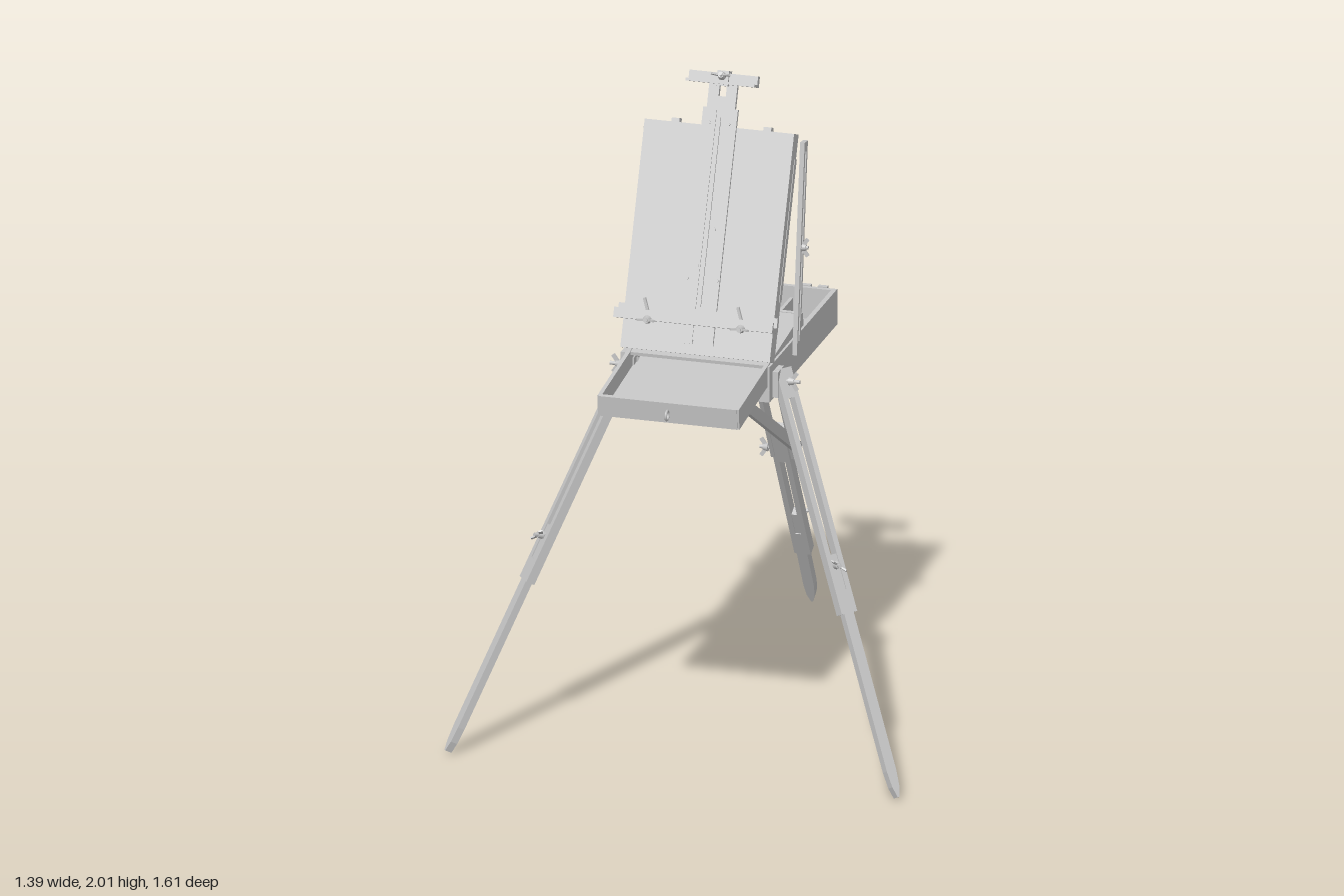
import * as THREE from 'three';

const wood = new THREE.MeshStandardMaterial({ color: 0xc6c6c6 });
wood.name = 'grey';
const V = (x, y, z) => new THREE.Vector3(x, y, z);

function add(parent, name, geo, x = 0, y = 0, z = 0) {
  const m = new THREE.Mesh(geo, wood);
  m.name = name;
  m.position.set(x, y, z);
  parent.add(m);
  return m;
}

// box from its min and max corners
function block(parent, name, x0, x1, y0, y1, z0, z1) {
  return add(parent, name, new THREE.BoxGeometry(x1 - x0, y1 - y0, z1 - z0),
    (x0 + x1) / 2, (y0 + y1) / 2, (z0 + z1) / 2);
}

// flat bar from a to b, optionally slotted or pointed at b
function bar(parent, name, a, b, w, t, widthDir, { slot, point = 0 } = {}) {
  const L = a.distanceTo(b), h = w / 2;
  const s = new THREE.Shape();
  s.moveTo(-h, 0);
  s.lineTo(h, 0);
  s.lineTo(h, L - point);
  if (point) {
    s.lineTo(h * 0.75, L - point * 0.4);
    s.lineTo(h * 0.2, L);
    s.lineTo(-h * 0.2, L);
    s.lineTo(-h * 0.75, L - point * 0.4);
  }
  s.lineTo(-h, L - point);
  s.closePath();
  if (slot) {
    const [y0, y1, sw] = slot, q = sw / 2, p = new THREE.Path();
    p.moveTo(-q, y0);
    p.lineTo(-q, L - y1);
    p.lineTo(q, L - y1);
    p.lineTo(q, y0);
    p.closePath();
    s.holes.push(p);
  }
  const geo = new THREE.ExtrudeGeometry(s, { depth: t, bevelEnabled: false });
  geo.translate(0, 0, -t / 2);
  const Y = b.clone().sub(a).normalize();
  const X = widthDir.clone().addScaledVector(Y, -widthDir.dot(Y)).normalize();
  const Z = X.clone().cross(Y);
  geo.applyMatrix4(new THREE.Matrix4().makeBasis(X, Y, Z));
  return add(parent, name, geo, a.x, a.y, a.z);
}

// bolt with a two-winged nut, pointing along dir
function wingNut(parent, pos, dir, len = 0.05) {
  const g = new THREE.Group();
  g.name = 'wingNut';
  add(g, 'bolt', new THREE.CylinderGeometry(0.006, 0.006, len, 8), 0, len / 2, 0);
  add(g, 'nut', new THREE.CylinderGeometry(0.009, 0.013, 0.016, 10), 0, len * 0.6, 0);
  for (const s of [-1, 1]) {
    const w = add(g, 'wing', new THREE.BoxGeometry(0.026, 0.012, 0.005), s * 0.016, len * 0.75, 0);
    w.rotation.z = s * 0.6;
  }
  g.position.copy(pos);
  g.quaternion.setFromUnitVectors(V(0, 1, 0), dir.clone().normalize());
  parent.add(g);
}

function sketchBox(root) {
  const g = new THREE.Group();
  g.name = 'sketchBox';
  root.add(g);
  const L = -0.24, R = 0.215;
  block(g, 'boxFloor', L, R, 1.085, 1.098, -0.19, 0.49);
  block(g, 'sideWall', L, L + 0.015, 1.085, 1.195, -0.19, 0.49);
  block(g, 'sideWall', R - 0.015, R, 1.085, 1.195, -0.19, 0.49);
  block(g, 'backWall', L, R, 1.085, 1.195, -0.2, -0.185);
  block(g, 'frontWall', L, R, 1.085, 1.122, 0.477, 0.492);
  for (const x of [-0.13, 0.08]) block(g, 'divider', x - 0.005, x + 0.005, 1.095, 1.16, -0.19, 0.12);
  // latches and carrying handle on the back wall
  for (const x of [-0.19, -0.14, 0.12, 0.17]) {
    block(g, 'latch', x - 0.014, x + 0.014, 1.12, 1.198, -0.213, -0.198);
    const k = add(g, 'latchKnob', new THREE.CylinderGeometry(0.01, 0.01, 0.02, 10), x, 1.15, -0.218);
    k.rotation.x = Math.PI / 2;
  }
  const arc = new THREE.CatmullRomCurve3([V(-0.11, 1.14, -0.2), V(-0.1, 1.09, -0.222),
    V(-0.065, 1.058, -0.222), V(-0.02, 1.05, -0.222), V(0.025, 1.058, -0.222),
    V(0.06, 1.09, -0.222), V(0.07, 1.14, -0.2)]);
  add(g, 'handle', new THREE.TubeGeometry(arc, 28, 0.009, 8));
  for (const x of [-0.11, 0.07]) block(g, 'handleMount', x - 0.015, x + 0.015, 1.12, 1.165, -0.212, -0.198);
}

function drawer(root) {
  const g = new THREE.Group();
  g.name = 'drawer';
  g.position.set(-0.008, 1.1, 0.775);
  g.rotation.x = 0.113;
  root.add(g);
  const w = 0.21, len = 0.66, h = 0.064;
  block(g, 'drawerFloor', -w, w, 0, 0.01, -len, 0);
  for (const s of [-1, 1]) block(g, 'drawerSide', s * w - 0.006, s * w + 0.006, 0, h, -len, 0);
  block(g, 'drawerFront', -w, w, 0, h, -0.012, 0.002);
  block(g, 'drawerBack', -w, w, 0, h, -len, -len + 0.012);
  block(g, 'drawerCover', -w, w, h - 0.012, h - 0.002, -len, -0.3);
  const k = add(g, 'drawerPull', new THREE.TorusGeometry(0.014, 0.004, 6, 16), 0, 0.03, 0.014);
  k.rotation.y = Math.PI / 2;
}

function easelPanel(root) {
  const g = new THREE.Group();
  g.name = 'easelPanel';
  g.position.set(-0.013, 1.21, 0.49);
  g.rotation.x = -0.38;
  root.add(g);
  const w = 0.228, H = 0.672;
  // face boards with rims behind
  block(g, 'panelFace', -w, w, 0, H, -0.014, 0);
  for (const s of [-1, 1]) block(g, 'panelSideRim', s * (w - 0.008) - 0.008, s * (w - 0.008) + 0.008, 0, H, -0.05, -0.01);
  block(g, 'panelTopRim', -w, w, H - 0.016, H, -0.05, -0.01);
  block(g, 'panelBottomRim', -w, w, 0, 0.016, -0.05, -0.01);
  for (const x of [-0.14, 0.14]) block(g, 'panelCatch', x - 0.012, x + 0.012, H, H + 0.012, -0.045, -0.02);
  // sliding mast
  for (const s of [-1, 1]) block(g, 'mastRail', s * 0.032 - 0.021, s * 0.032 + 0.021, 0.03, 0.725, -0.003, 0.008);
  block(g, 'mast', -0.043, 0.043, 0.04, 0.76, -0.008, 0.005);
  for (const s of [-1, 1]) block(g, 'mastTip', s * 0.027 - 0.016, s * 0.027 + 0.016, 0.755, 0.82, -0.008, 0.005);
  block(g, 'mastRack', -0.004, 0.004, 0.14, 0.7, 0.004, 0.01);
  for (const [x, y] of [[-0.045, 0.22], [0.045, 0.22], [-0.02, 0.26], [0.02, 0.37], [0.03, 0.68], [-0.03, 0.68]]) {
    const p = add(g, 'screw', new THREE.CylinderGeometry(0.005, 0.005, 0.006, 8), x, y, 0.009);
    p.rotation.x = Math.PI / 2;
  }
  // top canvas clamp
  block(g, 'clampBar', -0.105, 0.105, 0.795, 0.828, -0.006, 0.014);
  block(g, 'clampLip', -0.105, 0.105, 0.795, 0.803, 0.01, 0.045);
  block(g, 'clampPlate', -0.018, 0.018, 0.79, 0.835, -0.012, 0.022);
  wingNut(g, V(0, 0.815, 0.01), V(0, 0.2, 1), 0.045);
  // canvas shelf
  block(g, 'shelfBack', -0.24, 0.245, 0.085, 0.13, 0.008, 0.024);
  block(g, 'shelfFloor', -0.24, 0.245, 0.085, 0.1, 0.02, 0.068);
  block(g, 'shelfLip', -0.24, 0.245, 0.085, 0.115, 0.06, 0.07);
  for (const x of [-0.135, 0.15]) {
    wingNut(g, V(x, 0.09, 0.06), V(0, -0.2, 1), 0.035);
    bar(g, 'shelfHook', V(x, 0.1, 0.06), V(x - 0.015, 0.15, 0.075), 0.008, 0.008, V(1, 0, 0));
  }
  // peg on the back face
  const peg = add(g, 'backPeg', new THREE.CylinderGeometry(0.012, 0.012, 0.03, 10), 0, 0.6, -0.028);
  peg.rotation.x = Math.PI / 2;
}

function supports(root) {
  for (const s of [-1, 1]) {
    const x = -0.0125 + s * 0.239;
    bar(root, 'panelStrut', V(x, 1.155, 0.258), V(x, 1.79, 0.178), 0.034, 0.014, V(0, 0, 1), { slot: [0.04, 0.03, 0.012] });
    wingNut(root, V(x - s * 0.01, 1.475, 0.218), V(s, 0, 0), 0.035);
    bar(root, 'strutLink', V(x - s * 0.014, 1.36, 0.385), V(x - s * 0.014, 1.75, 0.228), 0.022, 0.008, V(0, 0, 1));
  }
}

function frontLegs(root) {
  for (const s of [-1, 1]) {
    const g = new THREE.Group();
    g.name = 'frontLeg';
    root.add(g);
    const P = y => V(s * (0.685 - 0.393 * y), y, 0.765 - 0.3 * y);
    const wd = V(s * 0.6, 0, -0.8);
    bar(g, 'upperLeg', P(1.165), P(0.5), 0.056, 0.028, wd, { slot: [0.09, 0.07, 0.022] });
    bar(g, 'lowerLeg', P(0.66), P(0), 0.034, 0.022, wd, { point: 0.08 });
    wingNut(g, P(0.635), V(s * 0.5, 0.15, 0.6));
    wingNut(g, V(s * 0.225, 1.135, 0.43), V(s, 0, 0), 0.065);
    block(g, 'legHinge', s * 0.22 - 0.012, s * 0.22 + 0.012, 1.09, 1.17, 0.4, 0.46);
  }
}

function rearLeg(root) {
  const g = new THREE.Group();
  g.name = 'rearLeg';
  root.add(g);
  const P = (x, y) => V(x, y, -0.785 + 0.578 * y);
  for (const x of [-0.052, 0.01]) bar(g, 'upperRail', P(x, 1.1), P(x, 0.57), 0.044, 0.012, V(0, 0, 1));
  bar(g, 'middleLeg', P(-0.028, 0.67), P(-0.028, 0.19), 0.05, 0.036, V(1, 0, 0), { slot: [0.14, 0.09, 0.018] });
  bar(g, 'foot', P(-0.03, 0.34), P(-0.033, 0), 0.032, 0.03, V(1, 0, 0), { point: 0.07 });
  const hinge = add(g, 'rearHinge', new THREE.CylinderGeometry(0.014, 0.014, 0.09, 12), -0.021, 1.075, -0.165);
  hinge.rotation.z = Math.PI / 2;
  wingNut(g, P(-0.05, 0.585), V(-1, 0, 0), 0.045);
  wingNut(g, P(-0.03, 0.31), V(0, 0.5, -0.85), 0.04);
  // diagonal brace
  bar(root, 'brace', V(0.045, 1.1, 0.43), V(0.024, 0.59, -0.45), 0.036, 0.014, V(0, 1, 0));
  block(root, 'braceMount', 0.02, 0.06, 1.06, 1.09, 0.39, 0.45);
}

export function createModel() {
  const root = new THREE.Group();
  root.name = 'fieldEasel';
  for (const build of [sketchBox, drawer, easelPanel, supports, frontLegs, rearLeg]) build(root);
  return root;
}
